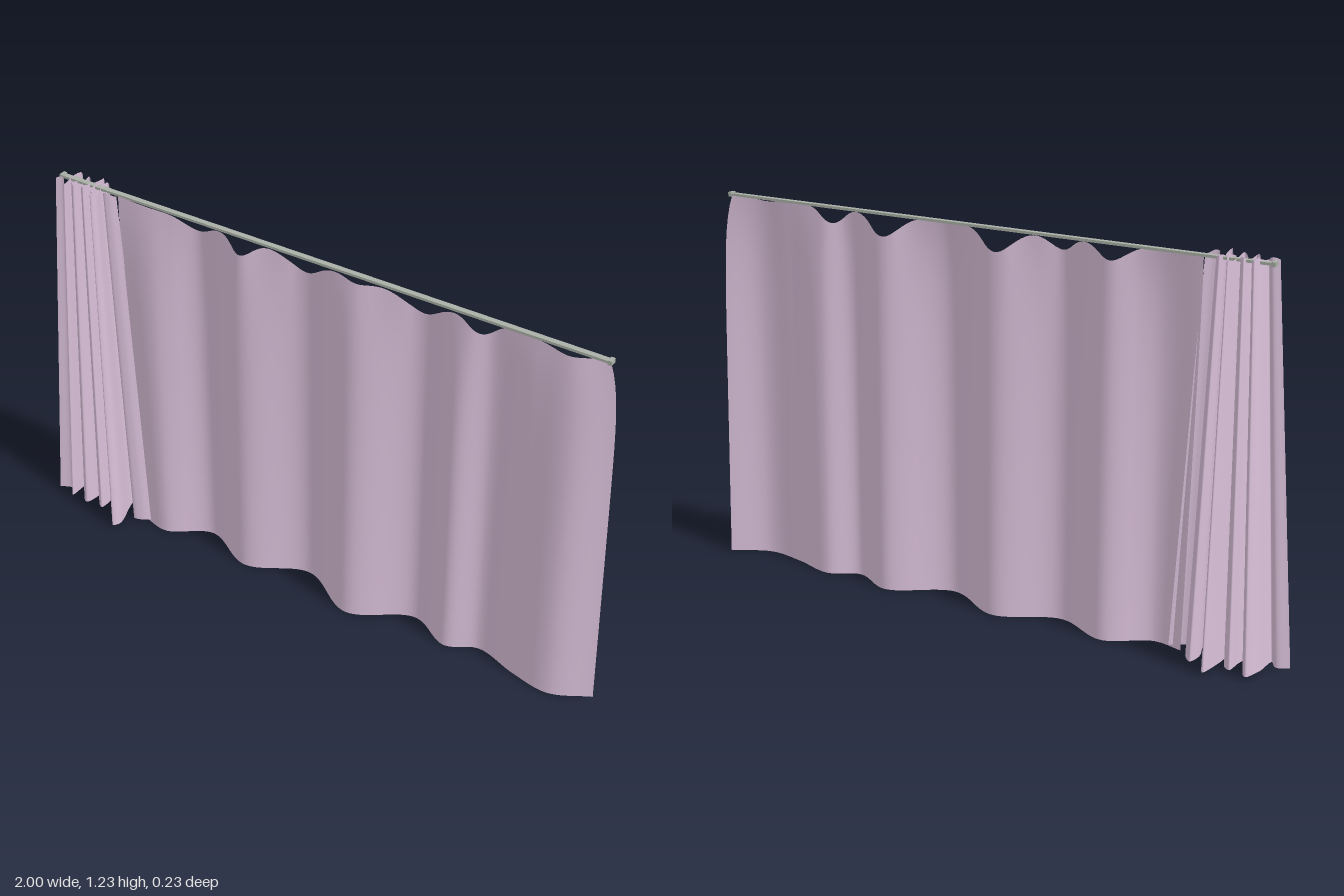
import * as THREE from 'three';

const TOP = 1.226;
const fabric = new THREE.MeshStandardMaterial({ color: 0xd9c0d9, side: THREE.DoubleSide });
const metal = new THREE.MeshStandardMaterial({ color: 0xa9b0a6 });

// Smooth cloth grid: place(u, v) gives a point, u across and v upwards
function sheet(name, nu, nv, place) {
  const geo = new THREE.PlaneGeometry(1, 1, nu, nv);
  const pos = geo.attributes.position;
  for (let i = 0; i < pos.count; i++) {
    const p = place(pos.getX(i) + 0.5, pos.getY(i) + 0.5);
    pos.setXYZ(i, p.x, p.y, p.z);
  }
  geo.computeVertexNormals();
  const mesh = new THREE.Mesh(geo, fabric);
  mesh.name = name;
  return mesh;
}

// Smooth curve through [x, z] hem points
const hemCurve = (pts) => new THREE.CatmullRomCurve3(pts.map(([x, z]) => new THREE.Vector3(x, 0, z)));

// Drawn panel: broad waves, drooping between its fixings
function drawnPanel() {
  const hem = hemCurve([
    [-0.66, 0.01], [-0.56, 0.03], [-0.42, -0.045], [-0.24, 0.032], [-0.04, -0.05],
    [0.16, 0.05], [0.36, -0.048], [0.5, 0.015], [0.6, -0.03], [0.74, 0.01],
    [0.87, 0.03], [0.995, -0.03],
  ]);
  // droop centre, depth, half width
  const droops = [
    [-0.42, 0.045, 0.06], [-0.24, 0.045, 0.05], [-0.04, 0.065, 0.07],
    [0.16, 0.01, 0.05], [0.36, 0.065, 0.07], [0.56, 0.05, 0.05], [0.84, 0.012, 0.07],
  ];
  return sheet('drawnCurtain', 240, 32, (u, v) => {
    const p = hem.getPoint(u);
    const droop = droops.reduce((s, [x, d, w]) => s + d * Math.exp(-(((p.x - x) / w) ** 2)), 0);
    const pull = v ** 8;
    p.y = 0.005 + v * (TOP - 0.007) - droop * pull;
    p.z *= 1 - 0.3 * v;
    p.z += (-0.01 - p.z) * pull * 0.6 * (1 - Math.min(1, droop / 0.05));
    // side edges draw inward towards the rail
    const right = Math.max(0, (p.x - 0.7) / 0.295);
    p.x -= right * right * (0.02 * v + 0.03 * v ** 14);
    p.x -= Math.max(0, (-0.5 - p.x) / 0.16) * 0.04 * v;
    return p;
  });
}

// Gathered panel: tight folds spreading towards the hem
function gatheredPanel() {
  const hem = hemCurve([
    [-1, 0.04], [-0.96, 0.025], [-0.935, 0.055], [-0.93, -0.02], [-0.91, -0.08],
    [-0.885, -0.04], [-0.895, 0.04], [-0.87, 0.06], [-0.855, 0], [-0.85, -0.06],
    [-0.825, -0.04], [-0.835, 0.035], [-0.81, 0.055], [-0.805, -0.03], [-0.79, -0.115],
    [-0.765, -0.05], [-0.775, 0.03], [-0.745, 0.06], [-0.72, 0.112], [-0.705, 0.09],
    [-0.735, -0.02], [-0.725, -0.065], [-0.695, -0.03], [-0.685, 0.04], [-0.655, 0.035],
    [-0.62, 0.01],
  ]);
  return sheet('gatheredCurtain', 300, 24, (u, v) => {
    const p = hem.getPoint(u);
    const topX = -0.92 + (p.x + 1) * (0.22 / 0.38);
    p.x += (topX - p.x) * v;
    p.z *= 1 - 0.47 * v;
    p.y = 0.014 + v * (TOP - 0.008 + 0.006 * Math.sin(u * 55) * v ** 10);
    return p;
  });
}

// Rail: slim flat bar with stop at each end
function rail() {
  const group = new THREE.Group();
  group.name = 'curtainRail';
  const add = (name, w, h, d, x) => {
    const bar = new THREE.Mesh(new THREE.BoxGeometry(w, h, d), metal);
    bar.name = name;
    bar.position.set(x, TOP, -0.012);
    group.add(bar);
  };
  add('railBar', 1.87, 0.008, 0.018, 0.015);
  for (const x of [-0.917, 0.948]) add('railEnd', 0.012, 0.014, 0.022, x);
  return group;
}

export function createModel() {
  const model = new THREE.Group();
  model.name = 'curtains';
  model.add(drawnPanel(), gatheredPanel(), rail());
  return model;
}
